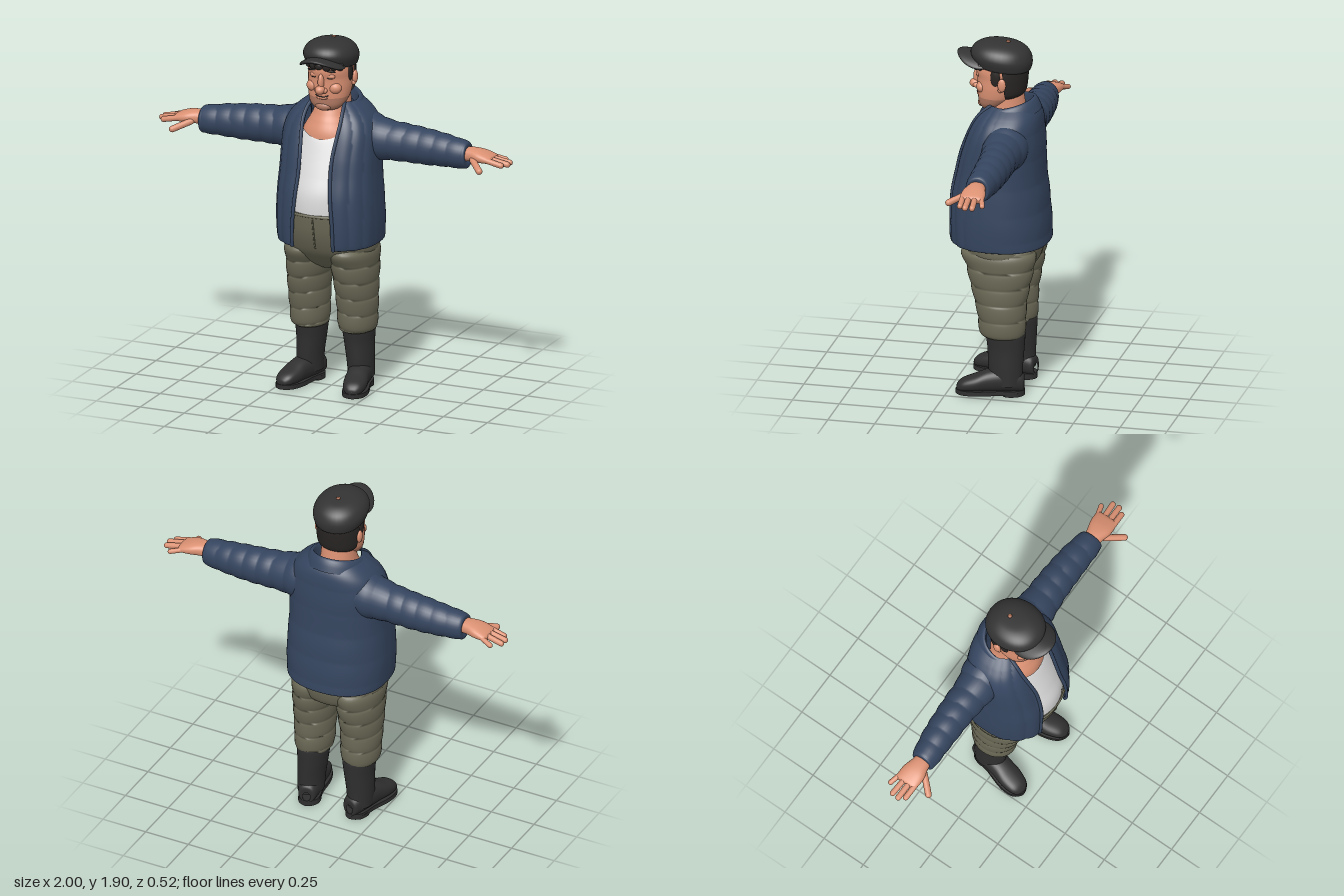
import * as THREE from 'three';
import { ParametricGeometry } from 'three/addons/geometries/ParametricGeometry.js';

const mat = (name, color, side = THREE.FrontSide) => {
  const m = new THREE.MeshStandardMaterial({ color, side });
  m.name = name;
  return m;
};
const M = {
  jacket: mat('navy jacket', 0x35455f, THREE.DoubleSide),
  pants: mat('olive trousers', 0x6b6956),
  boots: mat('black rubber', 0x2f2f2f),
  skin: mat('skin', 0xdb9173),
  stubble: mat('stubble', 0xb47b64),
  shirt: mat('white shirt', 0xdcdcdc),
  hair: mat('dark hair', 0x282523, THREE.DoubleSide),
  cap: mat('charcoal cap', 0x333333),
  button: mat('cap button', 0xa5694f),
};

// Smooth interpolation through table rows, t in 0..1
function sample(rows, t) {
  const n = rows.length - 1, x = Math.min(Math.max(t, 0), 1) * n;
  const i = Math.min(Math.floor(x), n - 1), f = x - i;
  const r = k => rows[Math.min(Math.max(k, 0), n)];
  return rows[0].map((_, c) => {
    const [a, b, d, e] = [r(i - 1)[c], r(i)[c], r(i + 1)[c], r(i + 2)[c]];
    return b + 0.5 * f * (d - a + f * (2 * a - 5 * b + 4 * d - e + f * (3 * (b - d) + e - a)));
  });
}
const spow = (v, e) => Math.sign(v) * Math.abs(v) ** e;

// Surface point rule for rows [along, centreX, radiusX, zFront, zBack, (half opening)]
function section(rows, { a0 = 0, e = 1, v0 = 0, v1 = 1, puff, warp } = {}) {
  return (u, v, p) => {
    const t = v0 + (v1 - v0) * v;
    const [y, cx, rx, zf, zb, gap] = sample(rows, t);
    const start = gap ? Math.asin((gap / rx) ** (1 / e)) : a0;
    const a = start + (2 * Math.PI - 2 * start) * u;
    const k = puff ? 1 + puff(a, y) : 1;
    p.set(cx + rx * k * spow(Math.sin(a), e), y, (zf + zb) / 2 + (zf - zb) / 2 * k * spow(Math.cos(a), e));
    if (warp) warp(p, t);
  };
}
const loft = (rows, opt = {}, nu = 36, nv = 32) => new ParametricGeometry(section(rows, opt), nu, nv);

function mirrored(geo) {
  const g = geo.clone().scale(-1, 1, 1);
  const idx = g.index ? Array.from(g.index.array) : Array.from({ length: g.attributes.position.count }, (_, i) => i);
  for (let i = 0; i < idx.length; i += 3) [idx[i], idx[i + 1]] = [idx[i + 1], idx[i]];
  g.setIndex(idx);
  return g;
}
const ball = (x, y, z, rx, ry, rz, turn = 0) =>
  new THREE.SphereGeometry(1, 20, 14).scale(rx, ry, rz).rotateZ(turn).translate(x, y, z);
const tube = (pts, r) => new THREE.TubeGeometry(
  new THREE.CatmullRomCurve3(pts.map(p => p.isVector3 ? p : new THREE.Vector3(...p))), 32, r, 8);

// Rounded finger between two points
function finger(a, b, r) {
  const A = new THREE.Vector3(...a), B = new THREE.Vector3(...b), d = B.clone().sub(A);
  const q = new THREE.Quaternion().setFromUnitVectors(new THREE.Vector3(0, 1, 0), d.clone().normalize());
  return new THREE.CapsuleGeometry(r, d.length() - 2 * r, 5, 12).applyQuaternion(q)
    .translate(...A.add(B).multiplyScalar(0.5).toArray());
}

export function createModel() {
  const root = new THREE.Group();
  const add = (name, geo, material) => {
    const m = new THREE.Mesh(geo, material);
    m.name = name;
    root.add(m);
  };
  const pair = (name, geo, material) => {
    add(name + 'Left', geo, material);
    add(name + 'Right', mirrored(geo), material);
  };

  // Boots: shaft, foot, sole and heel, toes turned out
  pair('bootShaft', loft([[.06, .145, .066, .03, -.14], [.15, .143, .07, .04, -.142], [.25, .136, .077, .046, -.148],
    [.335, .133, .085, .056, -.152], [.337, .133, .07, .04, -.14]]), M.boots);
  const place = g => g.rotateY(.22).translate(.145, 0, -.06);
  pair('bootFoot', place(loft([[-.088, 0, .02, -.03, -.08], [-.08, 0, .045, -.02, -.12], [0, 0, .062, -.02, -.15],
    [.1, 0, .06, -.02, -.135], [.17, 0, .062, -.02, -.108], [.23, 0, .05, -.02, -.085], [.258, 0, .026, -.025, -.06],
    [.263, 0, .001, -.04, -.041]], { e: .85 }).rotateX(Math.PI / 2)), M.boots);
  const outline = (pts, depth, top) => {
    const s = new THREE.Shape(new THREE.CatmullRomCurve3(pts.map(p => new THREE.Vector3(p[0], p[1], 0)), true)
      .getPoints(40).map(p => new THREE.Vector2(p.x, p.y)));
    return place(new THREE.ExtrudeGeometry(s, { depth, bevelEnabled: false }).rotateX(Math.PI / 2).translate(0, top, 0));
  };
  pair('bootSole', outline([[0, -.093], [.05, -.06], [.056, .05], [.067, .17], [.048, .24], [0, .268],
    [-.048, .24], [-.067, .17], [-.056, .05], [-.05, -.06]], .024, .032), M.boots);
  pair('bootHeel', outline([[0, -.093], [.05, -.06], [.053, .01], [0, .025], [-.053, .01], [-.05, -.06]], .02, .02), M.boots);

  // Trousers: quilted legs, seat and belly, waistband and fly
  const legPuff = (a, y) => .055 * Math.sqrt(Math.abs(Math.sin(Math.PI * (y - .33 + .012 * Math.sin(a)) / .092))) - .025;
  pair('trouserLeg', loft([[.315, .135, .078, .06, -.14], [.335, .135, .096, .085, -.15], [.42, .135, .102, .095, -.155],
    [.5, .135, .105, .11, -.158], [.6, .132, .11, .135, -.175], [.7, .126, .117, .16, -.195],
    [.78, .12, .118, .185, -.2], [.84, .11, .08, .1, -.15]], { puff: legPuff }, 36, 72), M.pants);
  add('trouserSeat', loft([[.66, 0, .08, .07, -.12], [.7, 0, .19, .13, -.185], [.76, 0, .24, .19, -.212],
    [.82, 0, .244, .225, -.218], [.9, 0, .24, .252, -.21], [.99, 0, .23, .263, -.2], [1, 0, .22, .255, -.19]], { e: .95 }), M.pants);
  add('trouserWaistband', tube([[-.12, .99, .235], [-.06, .992, .256], [0, .992, .261], [.06, .992, .256], [.12, .99, .235]], .007), M.pants);
  add('trouserFly', tube([[.008, .98, .261], [.01, .9, .25], [.006, .82, .222], [0, .73, .155]], .005), M.pants);

  // Undershirt with a scooped neckline, and bare chest and neck
  add('undershirt', loft([[.93, 0, .2, .25, -.15], [1, 0, .2, .261, -.15], [1.1, 0, .2, .256, -.15], [1.2, 0, .2, .222, -.15],
    [1.3, 0, .185, .185, -.14], [1.4, 0, .155, .149, -.12]],
    { warp: (p, v) => { p.y += v ** 8 * (p.x * p.x * 3 - .02); } }), M.shirt);
  add('neck', loft([[1.3, 0, .17, .15, -.1], [1.4, 0, .147, .141, -.12], [1.46, 0, .118, .117, -.13], [1.5, 0, .1, .095, -.13],
    [1.56, 0, .092, .07, -.12], [1.64, 0, .088, .06, -.11]]), M.skin);

  // Jacket: upright channels at the front, soft level bands at the back
  const jacketRows = [[.83, 0, .255, .235, -.235, .115], [.812, 0, .268, .25, -.25, .115], [.84, 0, .274, .258, -.253, .115],
    [.95, 0, .278, .26, -.247, .112], [1.08, 0, .273, .252, -.235, .1], [1.2, 0, .266, .226, -.222, .09],
    [1.3, 0, .264, .203, -.22, .09], [1.4, 0, .258, .17, -.214, .1], [1.47, 0, .234, .138, -.208, .105],
    [1.52, 0, .19, .105, -.197, .1], [1.565, 0, .13, .06, -.17, .09]];
  const jacketPuff = (a, y) => Math.cos(a) > 0
    ? .03 * Math.cos(a) * Math.abs(Math.sin(a * 9)) : -.012 * Math.cos(a) * Math.abs(Math.sin(y * 22));
  const jacketOpt = { e: .86, puff: jacketPuff };
  add('jacketBody', loft(jacketRows, jacketOpt, 120, 60), M.jacket);
  const edge = section(jacketRows, jacketOpt), edgePts = [];
  for (let i = 1; i <= 10; i++) {
    const p = new THREE.Vector3();
    edge(0, i / 10, p);
    edgePts.push(p);
  }
  pair('jacketFrontEdge', tube(edgePts, .01), M.jacket);
  // Turned-down collar, lower and wider at the front
  const fold = [[.052, -.055], [.035, -.015], [.018, .006], [.005, 0], [0, -.06]];
  add('jacketCollar', new ParametricGeometry((u, v, p) => {
    const a = .72 + (2 * Math.PI - 1.44) * u, front = (1 + Math.cos(a)) / 2;
    const [dr, dy] = sample(fold, v);
    const r = .1 + .035 * front + dr;
    p.set(Math.sin(a) * r, 1.592 - .065 * front + dy * (1 + .3 * front), -.05 + Math.cos(a) * (r + .004));
  }, 48, 16), M.jacket);

  // Padded sleeves, lofted outward from the shoulder
  const sleevePuff = (a, x) => .05 * Math.abs(Math.sin(x * 38 + .35 * Math.sin(a + 1))) - .025;
  const toArm = g => g.rotateZ(-Math.PI / 2);
  const outward = rows => rows.map(([x, y, ...rest]) => [x, -y, ...rest]);
  pair('sleeve', toArm(loft(outward([[.13, 1.385, .125, .06, -.19], [.22, 1.37, .12, .055, -.175], [.3, 1.36, .106, .042, -.158],
    [.4, 1.355, .1, .03, -.155], [.5, 1.35, .096, .025, -.15], [.62, 1.345, .086, .022, -.14], [.71, 1.34, .077, .02, -.124],
    [.75, 1.338, .072, .015, -.115], [.757, 1.338, .05, 0, -.1], [.745, 1.338, .02, -.03, -.07]]),
    { puff: sleevePuff }, 32, 90)), M.jacket);

  // Hands: palm, four fingers and a thumb
  pair('palm', toArm(loft(outward([[.73, 1.345, .036, -.005, -.09], [.78, 1.348, .036, .002, -.098], [.83, 1.345, .033, .014, -.112],
    [.88, 1.338, .024, .012, -.115], [.902, 1.333, .016, .004, -.105], [.906, 1.332, .002, -.04, -.06]]), { e: .85 })), M.skin);
  [[-.002, .975, -.008, .0155], [-.034, .998, -.04, .016], [-.066, .995, -.078, .0155], [-.096, .95, -.124, .0135]].forEach(
    ([z, x, tipZ, r], i) => pair('finger' + (i + 1), finger([.86, 1.342, z], [x, 1.316, tipZ], r), M.skin));
  pair('thumb', finger([.79, 1.335, -.015], [.885, 1.296, .087], .0175), M.skin);

  // Head: stubbled jaw below, clean face above
  const head = [[1.524, 0, .03, .09, .04], [1.535, 0, .065, .108, .01], [1.56, 0, .092, .122, -.03], [1.6, 0, .108, .127, -.075],
    [1.65, 0, .115, .129, -.1], [1.7, 0, .115, .13, -.115], [1.75, 0, .114, .138, -.12], [1.82, 0, .1, .12, -.12]];
  add('jaw', loft(head, { e: .92, v1: 3 / 7 }), M.stubble);
  add('face', loft(head, { e: .92, v0: 3 / 7 }), M.skin);
  add('chin', ball(0, 1.552, .103, .045, .025, .027), M.stubble);
  add('lowerLip', ball(0, 1.602, .122, .034, .009, .014), M.skin);
  add('mouth', tube([[-.042, 1.617, .118], [-.02, 1.611, .131], [0, 1.61, .134], [.02, 1.611, .131], [.042, 1.617, .118]], .0028), M.hair);
  add('noseTip', ball(0, 1.65, .147, .026, .024, .029), M.skin);
  add('noseBridge', ball(0, 1.69, .134, .016, .045, .022), M.skin);
  pair('nostril', ball(.022, 1.645, .136, .014, .014, .016), M.skin);
  pair('cheek', ball(.06, 1.655, .095, .038, .032, .03), M.skin);
  pair('eyelid', ball(.046, 1.722, .114, .025, .017, .016), M.skin);
  pair('lashLine', tube([[.024, 1.715, .124], [.045, 1.711, .129], [.07, 1.716, .114]], .0025), M.hair);
  pair('eyebrow', ball(.05, 1.752, .125, .03, .006, .012, -.1), M.hair);
  pair('ear', ball(.123, 1.69, -.025, .013, .036, .022), M.skin);
  pair('earLobe', ball(.119, 1.662, -.015, .011, .014, .012), M.skin);

  // Hair round the back, sideburns and a fringe under the cap
  add('hair', loft([[1.605, 0, .095, .05, -.1], [1.63, 0, .113, .08, -.124], [1.69, 0, .122, .11, -.134],
    [1.75, 0, .123, .12, -.137], [1.8, 0, .115, .11, -.13]], { a0: 1.72 }), M.hair);
  pair('sideburn', ball(.112, 1.725, .012, .01, .05, .026), M.hair);
  [-.075, -.045, -.01, .03, .065, .09].forEach((x, i) =>
    add('fringe' + (i + 1), ball(x, 1.775, .138 - x * x * 5, .024, .02 + .004 * (i % 2), .014, .4), M.hair));

  // Flat cap with brim and button, tipped up toward the front
  const tip = p => { p.y += .1 * p.z; };
  add('cap', loft([[1.775, 0, .06, .07, -.08], [1.757, 0, .118, .132, -.138], [1.782, 0, .136, .155, -.154],
    [1.822, 0, .14, .166, -.155], [1.862, 0, .118, .137, -.135], [1.888, 0, .07, .075, -.09], [1.894, 0, .001, -.02, -.022]],
    { warp: tip, e: .95 }), M.cap);
  add('capBrim', loft([[1.79, 0, .001, .101, .099], [1.787, 0, .09, .2, .01], [1.798, 0, .118, .237, -.01],
    [1.812, 0, .1, .218, 0], [1.816, 0, .001, .101, .099]], { warp: p => { tip(p); p.y -= 3 * p.x * p.x; } }), M.cap);
  add('capButton', ball(0, 1.892, -.03, .011, .006, .011), M.button);

  return root;
}
